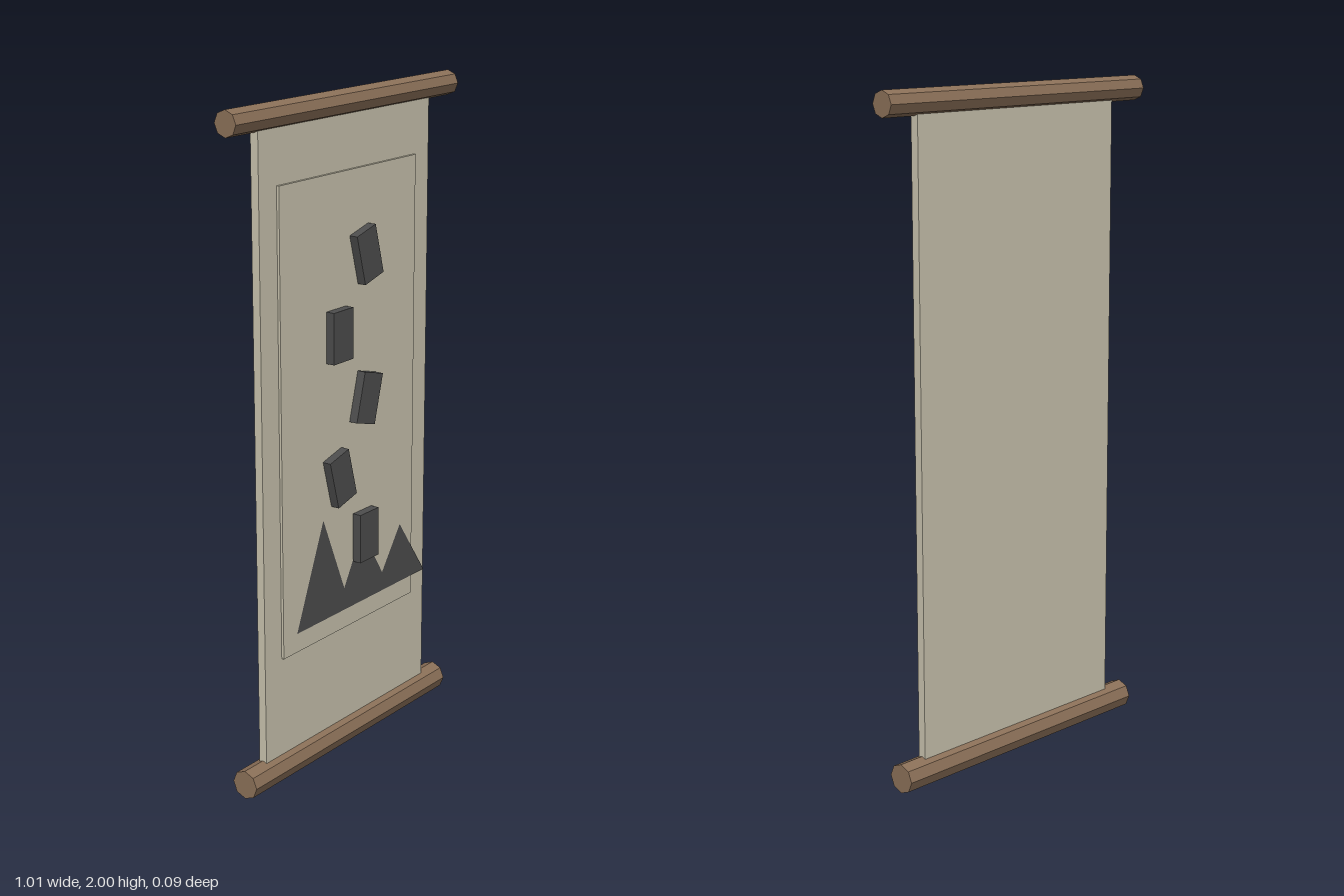
import * as THREE from 'three';

export function createModel() {
  const group = new THREE.Group();
  group.name = 'hangingScroll';

  const material = (name, color) => {
    const m = new THREE.MeshStandardMaterial({ color });
    m.name = name;
    return m;
  };
  const wood = material('wood', 0x8b7058);
  wood.flatShading = true;
  const paper = material('paper', 0xc9c3ae);
  const ink = material('ink', 0x4d4d4d);

  const add = (name, geometry, mat, x, y, z) => {
    const mesh = new THREE.Mesh(geometry, mat);
    mesh.name = name;
    mesh.position.set(x, y, z);
    group.add(mesh);
    return mesh;
  };

  // Octagonal rods with a ridge on top
  const rod = (name, radius, length, y) =>
    add(name, new THREE.CylinderGeometry(radius, radius, length, 8).rotateZ(Math.PI / 2), wood, 0, y, -0.002);
  rod('topRod', 0.037, 1.01, 1.963);
  rod('bottomRod', 0.044, 0.945, 0.044);

  // Hanging sheet and the slightly raised picture panel
  add('sheet', new THREE.BoxGeometry(0.78, 1.9, 0.026), paper, 0, 1.0, -0.002);
  add('picturePanel', new THREE.BoxGeometry(0.63, 1.385, 0.009), paper, 0, 1.083, 0.0145);

  // Painted mountain range
  const ridge = [
    [-0.255, 0.45], [0.38, 0.45], [0.25, 0.64], [0.16, 0.51],
    [0.058, 0.677], [-0.03, 0.52], [-0.13, 0.765],
  ].map(([x, y]) => new THREE.Vector2(x, y));
  add('mountains', new THREE.ShapeGeometry(new THREE.Shape(ridge)), ink, 0, 0, 0.021);

  // Column of tilted ink blocks
  const block = new THREE.BoxGeometry(0.09, 0.152, 0.027);
  const tilts = [15, 0, -15, 15, 0];
  tilts.forEach((tilt, i) => {
    const mesh = add(`inkBlock${i + 1}`, block, ink, i % 2 ? -0.065 : 0.061, 1.525 - i * 0.2145, 0.0325);
    mesh.rotation.z = THREE.MathUtils.degToRad(tilt);
  });

  return group;
}
